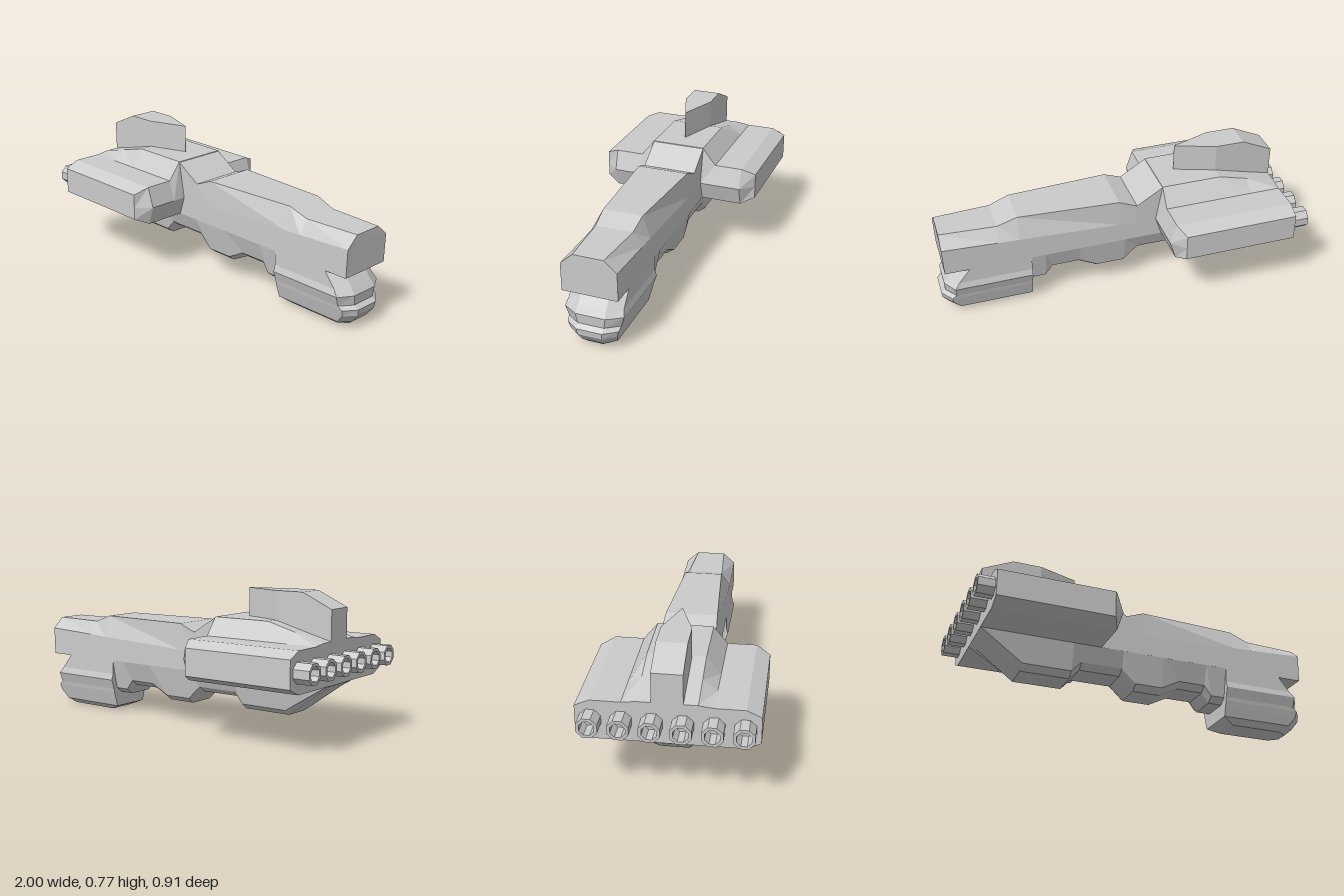
import * as THREE from 'three';

const material = new THREE.MeshStandardMaterial({ color: 0xcccccc, flatShading: true, side: THREE.DoubleSide });

// Skins a row of equal-length closed rings of [x, y, z] points and caps both ends
function loft(name, rings) {
  const tris = [];
  const n = rings[0].length;
  for (let i = 0; i < rings.length - 1; i++) {
    for (let j = 0; j < n; j++) {
      const k = (j + 1) % n;
      const a = rings[i][j], b = rings[i][k], c = rings[i + 1][k], d = rings[i + 1][j];
      tris.push([a, b, c], [a, c, d]);
    }
  }
  const first = rings[0], last = rings[rings.length - 1];
  for (let j = 1; j < n - 1; j++) {
    tris.push([first[0], first[j + 1], first[j]], [last[0], last[j], last[j + 1]]);
  }
  // A negative enclosed volume means the rings run the wrong way round
  let volume = 0;
  const v = (p) => new THREE.Vector3(...p);
  for (const [a, b, c] of tris) volume += v(a).dot(v(b).cross(v(c)));
  const ordered = volume < 0 ? tris.map(([a, b, c]) => [a, c, b]) : tris;
  const geometry = new THREE.BufferGeometry();
  geometry.setAttribute('position', new THREE.Float32BufferAttribute(ordered.flat(2), 3));
  geometry.computeVertexNormals();
  const mesh = new THREE.Mesh(geometry, material);
  mesh.name = name;
  return mesh;
}

// Mirrors a half outline of [z, y] points, listed top to bottom, into a ring at x
const mirrorRing = (x, half) => [
  ...half.map(([z, y]) => [x, y, z]),
  ...half.slice().reverse().map(([z, y]) => [x, y, -z]),
];

// Wide engine block with chamfered sides and a raised spine
function engineBlock() {
  const outline = (edge, low, high, front, middle, hump) => [
    [-0.91, low], [front, low], [middle, 0.41], [front, high + hump],
    [-0.58, high + hump], [-0.74, high + hump * 0.55], [-0.91, high + hump * 0.1],
  ].map(([x, y]) => [x, y, edge]);
  const half = [
    [0.455, 0.34, 0.485, -0.28, -0.28, 0],
    [0.38, 0.305, 0.52, -0.245, -0.21, 0],
    [0.225, 0.305, 0.52, -0.245, -0.21, 0],
    [0.15, 0.305, 0.52, -0.245, -0.21, 0.095],
  ];
  const left = half.map((s) => outline(...s));
  const right = half.map(([z, ...rest]) => outline(-z, ...rest)).reverse();
  return loft('engineBlock', [...left, ...right]);
}

// Long upper hull whose upper chamfers widen towards the nose
function upperHull() {
  const tops = [[-0.25, 0.615], [-0.1, 0.52], [0, 0.56], [0.56, 0.56], [0.67, 0.52], [0.98, 0.52]];
  return loft('upperHull', tops.map(([x, top]) => {
    const t = Math.max(0, (x + 0.1) / 1.08);
    const bottomX = x > 0.9 ? 0.975 : x;
    const ring = mirrorRing(x, [[0.15 - 0.068 * t, top], [0.15, 0.41 + 0.05 * t], [0.15, 0.305]]);
    ring[2][0] = ring[3][0] = bottomX;
    return ring;
  }));
}

// Stepped keel under the hull
function keel() {
  const bottoms = [
    [-0.91, 0.304], [-0.67, 0.125], [-0.4, 0.125], [-0.345, 0.185], [-0.115, 0.185],
    [-0.035, 0.11], [0.12, 0.11], [0.225, 0.165], [0.38, 0.165], [0.42, 0.11], [0.55, 0.11],
  ];
  return loft('keel', bottoms.map(([x, y]) => mirrorRing(x, [
    [0.15, 0.306], [0.115, Math.min(y + 0.03, 0.305)], [0.075, y],
  ])));
}

// Chin pod under the nose, stacked upwards, with a ridged front
function chinPod() {
  const levels = [ // y, back x, front x, half width
    [0, 0.57, 0.92, 0.075], [0.03, 0.5, 0.955, 0.113], [0.08, 0.5, 0.995, 0.128],
    [0.115, 0.5, 1, 0.138], [0.135, 0.5, 0.975, 0.142], [0.19, 0.5, 0.98, 0.16],
    [0.225, 0.5, 0.955, 0.15], [0.306, 0.5, 0.89, 0.15],
  ];
  return loft('chinPod', levels.map(([y, back, front, w]) => [
    [back, y, w], [front - 0.05, y, w], [front, y, w * 0.5],
    [front, y, -w * 0.5], [front - 0.05, y, -w], [back, y, -w],
  ]));
}

// Dorsal fin: square at the rear, pointed at the front
function dorsalFin() {
  const sections = [[-0.91, 0.69, 0.078], [-0.74, 0.768, 0.078], [-0.58, 0.768, 0.078], [-0.36, 0.768, 0.001]];
  return loft('dorsalFin', sections.map(([x, top, w]) => mirrorRing(x, [[w, top], [w, 0.5]])));
}

// Row of hollow eight-sided exhaust nozzles
function nozzles() {
  const group = new THREE.Group();
  group.name = 'exhaustNozzles';
  const profile = [[0.057, 0], [0.057, 0.11], [0.04, 0.11], [0.04, 0.01], [0, 0.01]]
    .map(([r, h]) => new THREE.Vector2(r, h));
  const geometry = new THREE.LatheGeometry(profile, 8, Math.PI / 8);
  for (let i = 0; i < 6; i++) {
    const nozzle = new THREE.Mesh(geometry, material);
    nozzle.name = 'exhaustNozzle';
    nozzle.rotation.z = Math.PI / 2;
    nozzle.position.set(-0.89, 0.415, (i - 2.5) * 0.151);
    group.add(nozzle);
  }
  return group;
}

export function createModel() {
  const model = new THREE.Group();
  model.name = 'spaceship';
  model.add(engineBlock(), upperHull(), keel(), chinPod(), dorsalFin(), nozzles());
  return model;
}
